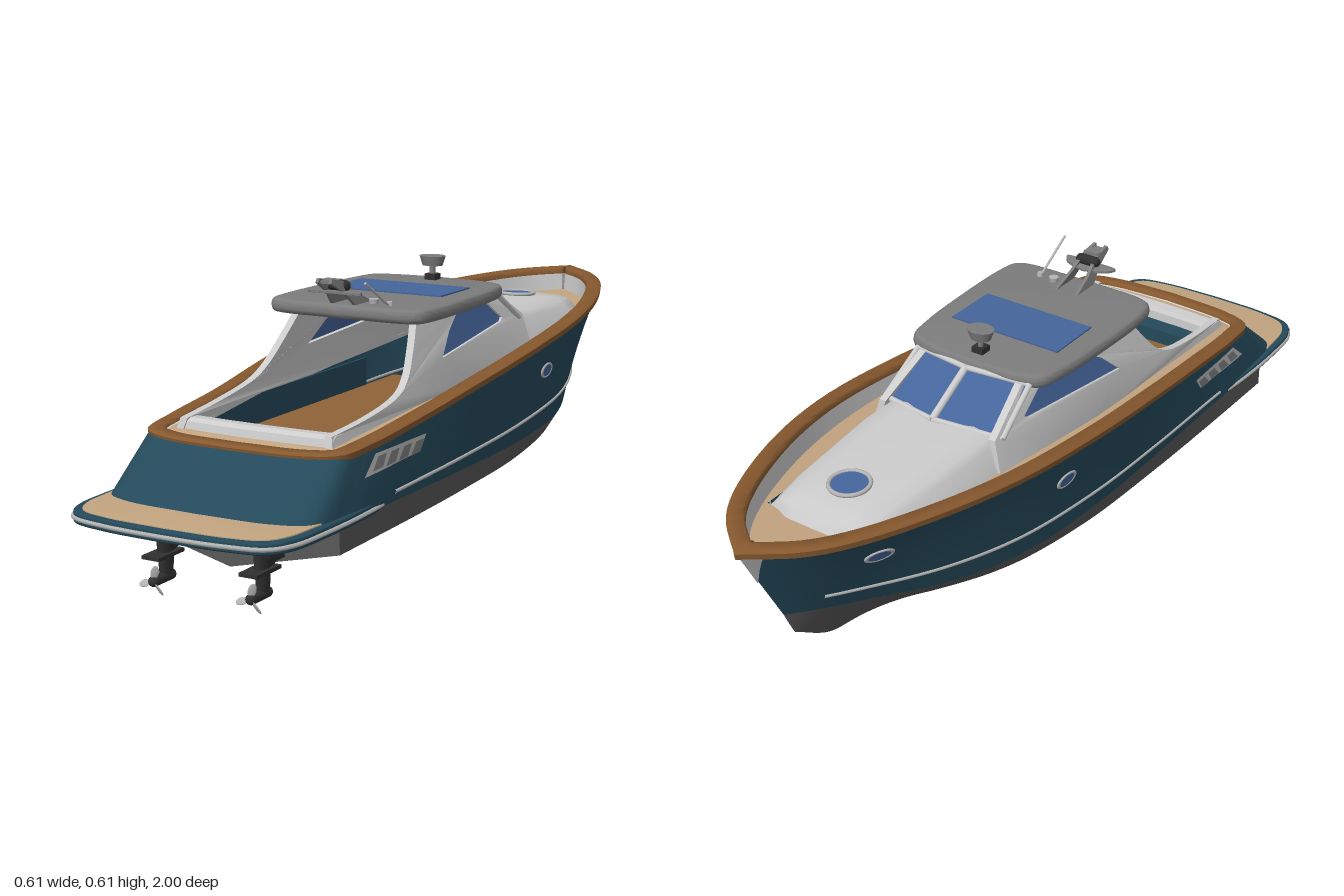
import * as THREE from 'three';
import { toCreasedNormals } from 'three/addons/utils/BufferGeometryUtils.js';

const V = (x, y, z) => new THREE.Vector3(x, y, z);
const curve = pts => new THREE.CatmullRomCurve3(pts.map(p => V(...p)));
const mat = color => new THREE.MeshStandardMaterial({ color, side: THREE.DoubleSide });
const M = {
  grey: mat(0xcccccc), blue: mat(0x24495a), wood: mat(0x87592f), teak: mat(0xc2a480), glass: mat(0x45659b),
  roof: mat(0x7c7c7c), bottom: mat(0x585858), dark: mat(0x303030), steel: mat(0xb4b4b4), floor: mat(0x8f6338),
};

export function createModel() {
  const root = new THREE.Group();
  const add = (name, geo, m, pos = [0, 0, 0], parent = root) => {
    const mesh = new THREE.Mesh(geo, m);
    mesh.name = name;
    mesh.position.set(...pos);
    parent.add(mesh);
    return mesh;
  };
  const box = (name, m, w, h, d, pos, parent) => add(name, new THREE.BoxGeometry(w, h, d), m, pos, parent);
  // Skin between rows of points
  const loft = (rows, crease = 0.6) => {
    const n = rows[0].length, idx = [];
    const g = new THREE.BufferGeometry().setFromPoints(rows.flat());
    for (let i = 0; i < rows.length - 1; i++) for (let j = 0; j < n - 1; j++) {
      const a = i * n + j, b = a + n;
      idx.push(a, b, a + 1, a + 1, b, b + 1);
    }
    g.setIndex(idx);
    return toCreasedNormals(g, crease);
  };
  const flip = p => V(-p.x, p.y, p.z);
  const both = half => [...half.slice(1).reverse().map(flip), ...half];
  const bar = (name, a, b, r, m = M.grey, parent = root) => {
    const d = b.clone().sub(a);
    const o = add(name, new THREE.CylinderGeometry(r, r, d.length(), 10), m, a.clone().add(b).multiplyScalar(0.5).toArray(), parent);
    o.quaternion.setFromUnitVectors(V(0, 1, 0), d.normalize());
    return o;
  };
  // Flat symmetric plate from a half outline of [x, z]
  const plate = (name, half, y, h, m, bevel = 0.004) => {
    const pts = new THREE.CatmullRomCurve3(half.map(([x, z]) => V(x, 0, z))).getPoints(40);
    const shape = new THREE.Shape(both(pts).map(p => new THREE.Vector2(p.x, -p.z)));
    const g = new THREE.ExtrudeGeometry(shape, { depth: h - 2 * bevel, bevelThickness: bevel, bevelSize: bevel, bevelOffset: -bevel, bevelSegments: 3 });
    g.rotateX(-Math.PI / 2).translate(0, y + bevel, 0);
    return add(name, toCreasedNormals(g, 0.6), m);
  };

  // Hull: half curves run from stern centre to bow
  const sheer = curve([[0, .315, .735], [.17, .315, .722], [.24, .318, .69], [.258, .325, .6], [.27, .345, .4], [.286, .375, .18],
    [.297, .41, -.1], [.286, .44, -.38], [.243, .457, -.6], [.165, .467, -.81], [.1, .471, -.91], [0, .475, -.995]]);
  const lower = curve([[0, .2, .87], [.18, .2, .86], [.25, .197, .83], [.27, .19, .72], [.272, .185, .45], [.275, .185, .2],
    [.272, .187, -.1], [.245, .195, -.36], [.185, .21, -.55], [.095, .23, -.72], [.045, .24, -.81], [0, .245, -.875]]);
  const N = 88;
  const sample = f => Array.from({ length: N + 1 }, (_, i) => f(i / N));
  const hull = (u, v) => {
    const p = lower.getPoint(u).lerp(sheer.getPoint(u), v);
    p.x *= 1 - 0.35 * v * (1 - v) * Math.max(0, u - 0.5);
    return p;
  };
  const rows = [];
  for (let i = 0; i <= 10; i++) rows.push(both(sample(u => hull(u, i / 10))));
  add('hullTopsides', loft(rows), M.blue);

  const waterline = curve([[.27, .188, .745], [.272, .185, .45], [.275, .185, .2], [.272, .187, -.1], [.245, .195, -.36],
    [.185, .21, -.55], [.095, .23, -.72], [0, .245, -.875]]);
  const chine = curve([[.27, .125, .745], [.27, .128, .45], [.268, .133, .2], [.258, .142, -.1], [.222, .158, -.36],
    [.155, .178, -.55], [.075, .2, -.71], [0, .215, -.862]]);
  const keel = curve([[0, .06, .745], [0, .066, .45], [0, .072, .2], [0, .079, -.1], [0, .086, -.36], [0, .094, -.55], [0, .106, -.72], [0, .18, -.845]]);
  const sides = [waterline, chine, keel].map(c => sample(u => c.getPoint(u)));
  add('hullBottom', loft([...sides, ...[sides[1], sides[0]].map(r => r.map(flip))]), M.bottom);
  const t = sides.map(r => r[0]);
  add('lowerTransom', loft([[t[0], t[1], t[2]], [flip(t[0]), flip(t[1]), t[2]]]), M.bottom);

  // Cap rail, bulwark and side deck
  const inset = (w, dy) => sample(u => {
    const p = sheer.getPoint(u), d = sheer.getTangent(u);
    const n = V(d.z, 0, -d.x).normalize();
    if (u === 0) p.z -= w;
    else if (u === 1) p.z += w * 1.5;
    else p.addScaledVector(n, w);
    if (u === 0 || u === 1 || p.x < 0) p.x = 0;
    p.y += dy;
    return p;
  });
  add('capRail', loft([inset(-.004, -.012), inset(-.006, .002), inset(0, .007), inset(.03, .007), inset(.034, .002), inset(.034, -.01)].map(both), 0.9), M.wood);
  const deckY = z => .36 - .063 * z;
  const houseX = z => z < -.33 ? .19 + (z + .33) * .08 : .209 - .16 * (z - .12) ** 2 + (z > .12 ? .08 * (z - .12) ** 2 : 0);
  const railIn = inset(.032, 0);
  const deckOut = inset(.038, 0).map(p => V(p.x, Math.min(deckY(p.z), p.y - .002), p.z));
  add('bulwark', loft([both(railIn), both(deckOut)]), M.grey);
  const deckIn = deckOut.map(p => V(p.z < -.75 || p.z > .64 ? 0 : Math.min(p.x, houseX(p.z) - .015), p.y, p.z));
  add('sideDeck', loft([both(deckOut), both(deckIn)]), M.teak);

  // Points on the hull surface, found by depth and height
  const onHull = (z, y, out = 0) => {
    let u = .5, v = .5;
    for (let k = 0; k < 5; k++) {
      let a = 0, b = 1;
      for (let i = 0; i < 16; i++) { u = (a + b) / 2; if (hull(u, v).z > z) a = u; else b = u; }
      const y0 = hull(u, 0).y;
      v = (y - y0) / (hull(u, 1).y - y0);
    }
    const p = hull(u, v), du = hull(u + .004, v).sub(hull(u - .004, v)), dv = hull(u, v + .01).sub(hull(u, v - .01));
    const n = du.cross(dv).normalize();
    if (n.x < 0) n.negate();
    return { p: p.addScaledVector(n, out), n };
  };
  const patch = (a, b, c, d, out) => {
    const g = [];
    for (let i = 0; i <= 4; i++) g.push(Array.from({ length: 9 }, (_, j) => {
      const s = j / 8, r = i / 4, mix = k => (a[k] * (1 - s) + b[k] * s) * (1 - r) + (d[k] * (1 - s) + c[k] * s) * r;
      return onHull(mix(0), mix(1), out).p;
    }));
    return g;
  };
  const mirrorPair = (name, geo, m) => {
    add(name, geo, m);
    add(name, geo, m).scale.x = -1;
  };
  for (const [z, y] of [[-.22, .34], [-.74, .385]]) for (const s of [1, -1]) {
    const port = new THREE.Group(), { p, n } = onHull(z, y, .001);
    port.name = 'portlight';
    port.position.set(p.x * s, p.y, p.z);
    port.lookAt(V((p.x + n.x) * s, p.y + n.y, p.z + n.z));
    port.scale.set(1.9, 1, 1);
    add('portRing', new THREE.TorusGeometry(.016, .003, 8, 28), M.steel, [0, 0, 0], port);
    add('portGlass', new THREE.CircleGeometry(.016, 28), M.glass, [0, 0, .002], port);
    root.add(port);
  }
  mirrorPair('ventFrame', loft(patch([.64, .262], [.41, .272], [.385, .306], [.59, .304], .003)), M.steel);
  for (let i = 0; i < 4; i++) {
    const z = .61 - i * .052;
    mirrorPair('ventSlot', loft(patch([z, .27], [z - .04, .272], [z - .058, .298], [z - .025, .297], .005)), M.roof);
  }
  const strake = [];
  for (let i = 0; i <= 30; i++) { const z = .52 - i * .0445; strake.push(onHull(z, .206 + .06 * (i / 30) ** 1.6 + .02 * i / 30, .001).p); }
  mirrorPair('rubStrake', new THREE.TubeGeometry(new THREE.CatmullRomCurve3(strake), 80, .004, 6), M.steel);
  const stem = [0, .25, .5, .75, 1].map(k => both(Array.from({ length: 7 }, (_, i) => {
    const p = hull(1 - .035 * k * (1 - i / 6), .55 + .42 * k);
    return V(p.x * 1.03 + (i < 6 ? .002 : 0), p.y, p.z - .003);
  }).reverse()));
  add('stemPlate', loft(stem), M.steel);

  // Swim platform
  const edge = [[0, .99], [.15, .983], [.235, .962], [.265, .915], [.276, .8], [.272, .6], [.255, .48]];
  plate('swimPlatform', edge, .177, .025, M.blue);
  plate('platformTeak', [[0, .975], [.15, .968], [.222, .948], [.25, .905], [.262, .8]], .199, .006, M.teak, .001);
  add('platformTrim', new THREE.TubeGeometry(new THREE.CatmullRomCurve3(both(edge.map(([x, z]) => V(x, .189, z)))), 120, .005, 6), M.steel);

  // Forward trunk cabin
  const lean = (z, y) => houseX(z) - (y - .36) * .28;
  const trunk = [[-.772, .4, .04], [-.768, .422, .05], [-.745, .435, .012], [-.65, .444, 0], [-.5, .452, 0], [-.4, .457, 0], [-.29, .46, 0]]
    .map(([z, y, cut]) => both([V(0, y + .004, z), V((lean(z, y) - cut) * .6, y + .002, z), V(lean(z, y) - .018 - cut, y - .006, z),
      V(lean(z, y) - .003 - cut, y - .02, z), V(houseX(z) - cut, deckY(z) - .015, z)]));
  trunk.unshift(trunk[0].map(p => V(p.x, deckY(-.77) - .01, p.z - .006)));
  add('trunkCabin', loft(trunk, .9), M.grey);
  const hatch = add('deckHatch', new THREE.CylinderGeometry(.045, .045, .008, 36), M.glass, [0, .449, -.64]);
  const ring = add('hatchRing', new THREE.TorusGeometry(.046, .005, 8, 36), M.steel, [0, .452, -.64]);
  hatch.rotation.x = -.05;
  ring.rotation.x = Math.PI / 2 - .05;

  // House sides with window openings, leaning inward
  const windowPts = [[.15, .425], [.09, .478], [.03, .512], [-.13, .516], [-.215, .462], [-.2, .454]].map(p => new THREE.Vector2(...p));
  const profile = new THREE.Shape();
  profile.moveTo(.655, .31);
  profile.lineTo(.645, .342);
  profile.splineThru([[.5, .355], [.38, .375], [.32, .405], [.27, .46], [.22, .528]].map(p => new THREE.Vector2(...p)));
  profile.lineTo(-.2, .532);
  profile.lineTo(-.33, .455);
  profile.lineTo(-.34, .37);
  profile.lineTo(0, .345);
  profile.holes.push(new THREE.Path(windowPts));
  const warp = (geo, out) => {
    const p = geo.attributes.position;
    for (let i = 0; i < p.count; i++) {
      const z = p.getX(i), y = p.getY(i), c = p.getZ(i);
      p.setXYZ(i, lean(z, y) - c + out, y, z);
    }
    return toCreasedNormals(geo, .5);
  };
  mirrorPair('houseSide', warp(new THREE.ExtrudeGeometry(profile, { depth: .018, bevelEnabled: false, curveSegments: 24 }), 0), M.grey);
  mirrorPair('sideWindow', warp(new THREE.ShapeGeometry(new THREE.Shape(windowPts)), -.006), M.glass);

  // Windshield
  const w = [V(0, .464, -.345), V(.166, .45, -.305), V(.157, .53, -.185), V(0, .538, -.215)];
  mirrorPair('windshieldPane', loft([[w[0], w[1]], [w[3], w[2]]]), M.glass);
  for (const f of [p => p, flip]) for (let i = 0; i < 4; i++) bar('windshieldFrame', f(w[i]), f(w[(i + 1) % 4]), i === 3 ? .009 : .007);

  // Roof and its fittings
  plate('roof', [[0, -.208], [.12, -.198], [.18, -.175], [.2, -.1], [.21, .05], [.211, .2], [.2, .265], [.17, .285], [0, .292]], .52, .033, M.roof, .012);
  box('sunroof', M.glass, .3, .005, .145, [0, .554, .01]);
  box('lampFoot', M.dark, .03, .015, .03, [0, .56, -.155]);
  bar('lampPost', V(0, .55, -.155), V(0, .59, -.155), .007, M.roof);
  add('searchlight', new THREE.CylinderGeometry(.034, .026, .024, 20), M.roof, [0, .6, -.155]).scale.z = .8;
  for (const s of [1, -1]) {
    const fin = new THREE.Shape([[.19, .548], [.27, .548], [.31, .585], [.36, .612], [.355, .622], [.3, .61], [.26, .58]].map(p => new THREE.Vector2(...p)));
    const g = new THREE.ExtrudeGeometry(fin, { depth: .008, bevelEnabled: false });
    g.rotateY(-Math.PI / 2);
    const p = g.attributes.position;
    for (let i = 0; i < p.count; i++) p.setX(i, p.getX(i) + .004 + s * (.03 - (p.getY(i) - .55) * .2));
    g.computeVertexNormals();
    add('mastLeg', g, M.roof);
  }
  plate('mastWing', [[0, .27], [.055, .29], [.07, .315], [.05, .32], [0, .318]], .582, .007, M.roof, .001);
  box('mastCrossbar', M.roof, .04, .008, .04, [0, .613, .33]);
  const horn = add('mastHorn', new THREE.CapsuleGeometry(.013, .04, 6, 14), M.dark, [0, .6, .3]);
  horn.rotation.z = Math.PI / 2;
  bar('antenna', V(.102, .55, .24), V(.102, .618, .35), .003, M.steel);
  add('antennaFoot', new THREE.CylinderGeometry(.007, .009, .012, 12), M.steel, [.102, .556, .24]);
  add('domeLight', new THREE.CylinderGeometry(.012, .01, .012, 18), M.steel, [.058, .558, .235]);

  // Cockpit
  box('cockpitFloor', M.floor, .372, .01, .85, [0, .265, .135]);
  for (const s of [1, -1]) box('cockpitSide', M.blue, .006, .08, .75, [s * .187, .3, .23]);
  box('sternBench', M.blue, .37, .045, .05, [0, .285, .58]);
  add('sternCoaming', loft([[.602, .275], [.604, .33], [.61, .34], [.638, .342], [.65, .335], [.658, .305]]
    .map(([z, y]) => [-.195, -.1, 0, .1, .195].map(x => V(x, y, z - x * x * .2))), .5), M.grey);

  // Twin stern drives with propellers
  for (const s of [1, -1]) {
    const drive = new THREE.Group();
    drive.name = 'sternDrive';
    drive.position.x = s * .122;
    root.add(drive);
    box('driveMount', M.dark, .03, .07, .03, [0, .137, .758], drive);
    add('driveBody', new THREE.SphereGeometry(1, 18, 12), M.dark, [0, .128, .79], drive).scale.set(.024, .038, .035);
    box('cavitationPlate', M.dark, .045, .008, .09, [0, .09, .815], drive);
    const leg = add('driveLeg', new THREE.CylinderGeometry(.016, .011, .1, 12), M.dark, [0, .085, .805], drive);
    leg.scale.z = 1.7;
    const pod = add('gearPod', new THREE.CapsuleGeometry(.012, .06, 6, 14), M.dark, [0, .038, .82], drive);
    pod.rotation.x = Math.PI / 2;
    for (let i = 0; i < 3; i++) {
      const a = i * Math.PI * 2 / 3 + .25;
      const blade = add('propellerBlade', new THREE.SphereGeometry(1, 14, 8), M.steel, [Math.sin(a) * .021, .038 + Math.cos(a) * .021, .853], drive);
      blade.scale.set(.009, .016, .002);
      blade.rotation.set(0, 0, -a);
      blade.rotateY(.6);
    }
  }
  return root;
}
